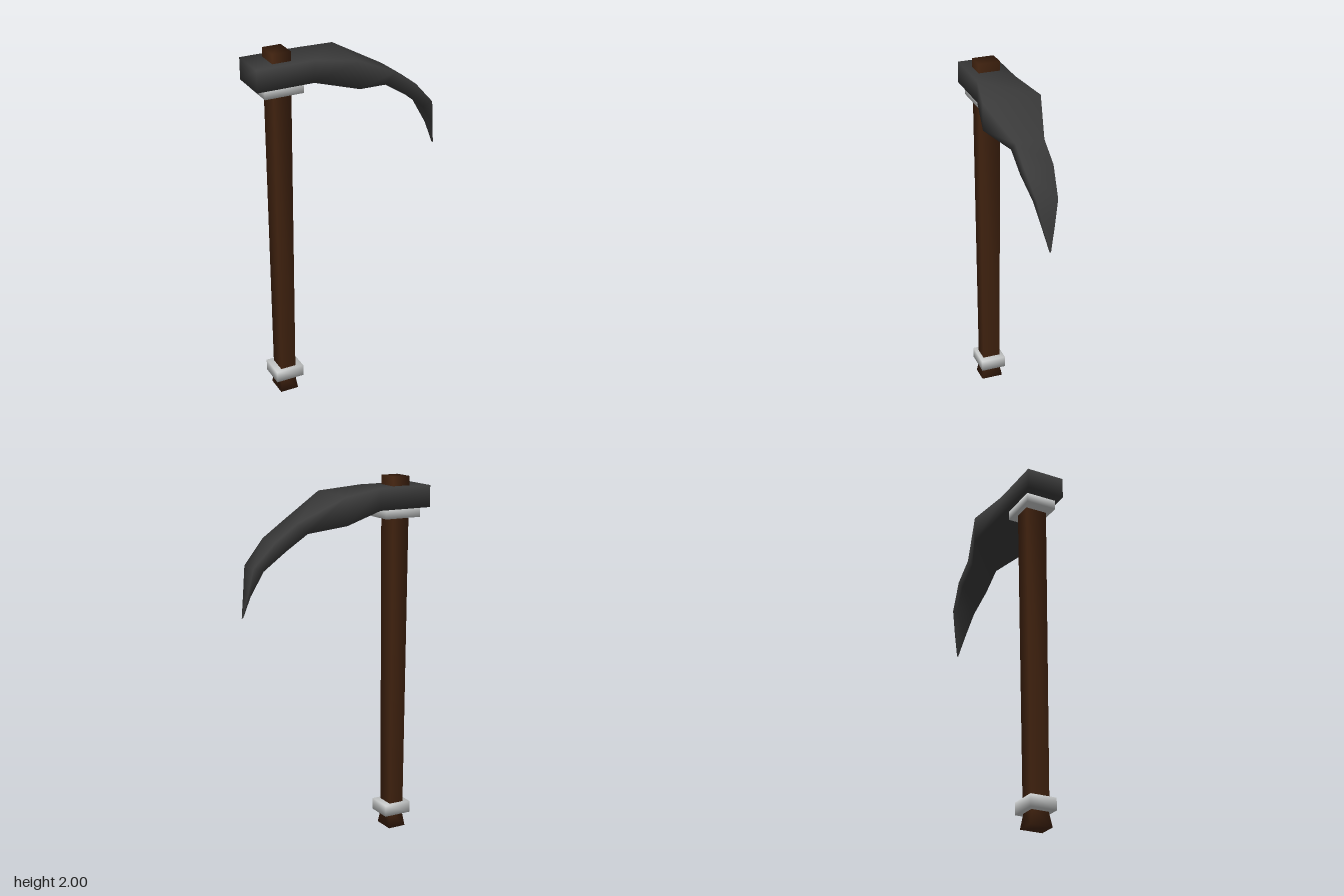
import * as THREE from 'three';

// Smooth four-sided loft. Each section: [ax, ay, bx, by, halfDepth],
// where a lies to the left of the travel direction and b to the right.
function loft(sections) {
  const pos = [];
  const index = [];
  for (const [ax, ay, bx, by, h] of sections) {
    pos.push(ax, ay, h, ax, ay, -h, bx, by, -h, bx, by, h);
  }
  const last = (sections.length - 1) * 4;
  for (let r = 0; r < last; r += 4) {
    for (let k = 0; k < 4; k++) {
      const i = r + k;
      const j = r + ((k + 1) % 4);
      index.push(i, i + 4, j + 4, i, j + 4, j);
    }
  }
  index.push(0, 1, 2, 0, 2, 3);
  index.push(last, last + 2, last + 1, last, last + 3, last + 2);
  const geometry = new THREE.BufferGeometry();
  geometry.setAttribute('position', new THREE.Float32BufferAttribute(pos, 3));
  geometry.setIndex(index);
  geometry.computeVertexNormals();
  return geometry;
}

// Upright loft from [y, centreX, halfWidth, halfDepth] rows
const upright = (rows) => loft(rows.map(([y, x, w, d]) => [x - w, y, x + w, y, d]));

export function createModel() {
  const group = new THREE.Group();
  const material = (name, color) => {
    const m = new THREE.MeshStandardMaterial({ color });
    m.name = name;
    return m;
  };
  const wood = material('darkWood', 0x40220f);
  const iron = material('darkIron', 0x3a3a3a);
  const steel = material('paleSteel', 0xc8caca);

  const add = (name, geometry, mat) => {
    const mesh = new THREE.Mesh(geometry, mat);
    mesh.name = name;
    group.add(mesh);
  };

  // Shaft with a flared foot
  add('handle', upright([
    [0, -0.387, 0.052, 0.062],
    [0.09, -0.387, 0.04, 0.046],
    [0.14, -0.387, 0.043, 0.051],
    [1.78, -0.385, 0.049, 0.06],
    [2, -0.385, 0.051, 0.061],
  ]), wood);

  // Collars
  add('lowerCollar', upright([
    [0.08, -0.385, 0.08, 0.072],
    [0.145, -0.385, 0.08, 0.072],
  ]), steel);
  add('upperCollar', upright([
    [1.78, -0.385, 0.106, 0.085],
    [1.835, -0.385, 0.106, 0.085],
  ]), steel);

  // Curved pick head, butt to tip
  add('pickHead', loft([
    [-0.54, 1.95, -0.54, 1.832, 0.106],
    [-0.23, 1.95, -0.23, 1.832, 0.106],
    [0, 1.925, 0, 1.775, 0.157],
    [0.25, 1.795, 0.19, 1.737, 0.077],
    [0.372, 1.71, 0.315, 1.657, 0.077],
    [0.49, 1.58, 0.433, 1.56, 0.055],
    [0.512, 1.44, 0.498, 1.43, 0.03],
    [0.535, 1.315, 0.53, 1.315, 0.003],
  ]), iron);

  return group;
}
